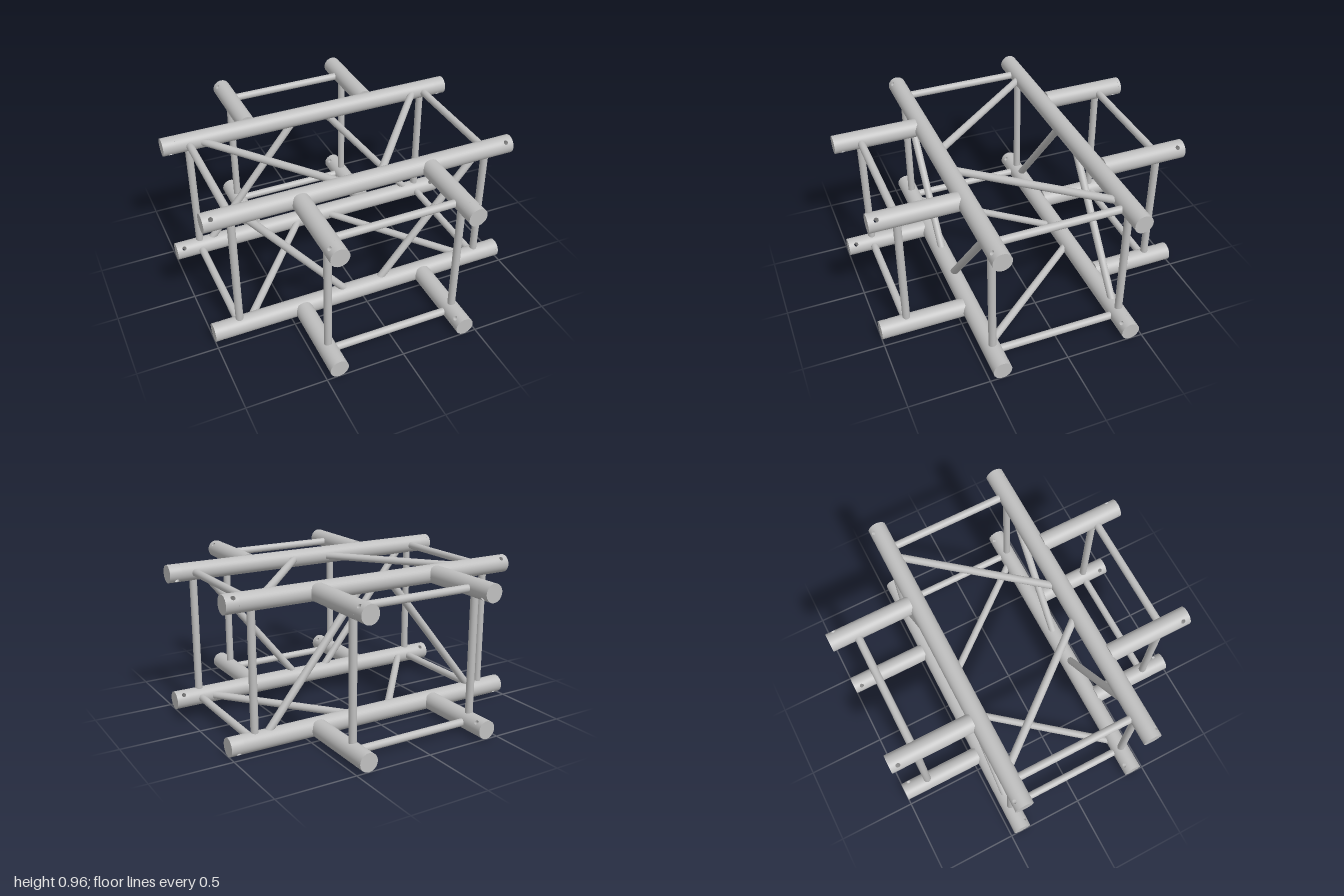
import * as THREE from 'three';
import { ParametricGeometry } from 'three/addons/geometries/ParametricGeometry.js';

const R = 0.058;      // chord tube radius
const BRACE = 0.024;  // brace rod radius
const HOLE = 0.014;   // pin hole radius
const HALF = 0.03;    // half length of the drilled section
const LOW = R, HIGH = 0.9, OUT = 0.42;

const steel = new THREE.MeshStandardMaterial({ color: 0xbfbfbf, side: THREE.DoubleSide });
steel.name = 'brushed steel';

const V = (x, y, z) => new THREE.Vector3(x, y, z);

// Half of a tube wall wrapped around a round hole that faces +z
function drilledWall(u, v, target) {
  const t = -2 * Math.PI * u, c = Math.cos(t), s = Math.sin(t);
  const k = 1 / Math.max(Math.abs(c), Math.abs(s));
  const angle = THREE.MathUtils.lerp(c * HOLE / R, c * k * Math.PI / 2, v);
  const along = THREE.MathUtils.lerp(s * HOLE, s * k * HALF, v);
  target.set(R * Math.sin(angle), along, R * Math.cos(angle));
}
const wallGeometry = new ParametricGeometry(drilledWall, 64, 12);
const boreGeometry = new THREE.CylinderGeometry(HOLE, HOLE, 0.113, 20, 1, true).rotateX(Math.PI / 2);

// Chord tube along a line, with pin holes drilled at given distances from its start
function chord(name, a, b, holeDir, holes) {
  const group = new THREE.Group();
  group.name = name;
  const length = a.distanceTo(b);
  const add = (part, geometry, y, turn = 0) => {
    const mesh = new THREE.Mesh(geometry, steel);
    mesh.name = part;
    mesh.position.y = y;
    mesh.rotation.y = turn;
    group.add(mesh);
  };
  let from = 0;
  for (const stop of [...holes, length + HALF]) {
    const to = stop - HALF;
    add('tubeBody', new THREE.CylinderGeometry(R, R, to - from, 40), (from + to) / 2);
    from = stop + HALF;
  }
  for (const y of holes) {
    add('drilledWall', wallGeometry, y);
    add('drilledWall', wallGeometry, y, Math.PI);
    add('pinHoleBore', boreGeometry, y);
  }
  const dir = b.clone().sub(a).normalize();
  const z = holeDir.clone().normalize();
  group.quaternion.setFromRotationMatrix(
    new THREE.Matrix4().makeBasis(dir.clone().cross(z), dir, z));
  group.position.copy(a);
  return group;
}

// Thin round rod between two points
function rod(name, a, b) {
  const mesh = new THREE.Mesh(
    new THREE.CylinderGeometry(BRACE, BRACE, a.distanceTo(b), 24), steel);
  mesh.name = name;
  mesh.position.copy(a).add(b).multiplyScalar(0.5);
  mesh.quaternion.setFromUnitVectors(V(0, 1, 0), b.clone().sub(a).normalize());
  return mesh;
}

export function createModel() {
  const model = new THREE.Group();
  model.name = 'trussCross';
  const signs = [-1, 1];
  const END = 0.83;                  // position of the end braces
  const OUTER = 0.775, INNER = 0.095; // ends of the diagonals

  for (const [y, sy] of [[LOW, -1], [HIGH, 1]]) {
    for (const s of signs) {
      // Long chords running left to right
      model.add(chord('longChord', V(-1, y, s * OUT), V(1, y, s * OUT), V(0, sy, s), [0.05, 1.95]));
      // Short arms to the front and back
      for (const sx of signs) {
        model.add(chord('armChord', V(sx * OUT, y, s * 0.458), V(sx * OUT, y, s), V(sx, sy, 0), [0.492]));
      }
      // Horizontal end braces
      model.add(rod('sideEndBrace', V(s * END, y, -OUT), V(s * END, y, OUT)));
      model.add(rod('armEndBrace', V(-OUT, y, s * END), V(OUT, y, s * END)));
      // Diagonals of the top and bottom faces
      model.add(rod('flatDiagonal', V(s * OUTER, y, -sy * OUT), V(s * INNER, y, sy * OUT)));
    }
  }

  for (const sx of signs) {
    for (const sz of signs) {
      // Upright end braces
      model.add(rod('sideUpright', V(sx * END, LOW, sz * OUT), V(sx * END, HIGH, sz * OUT)));
      model.add(rod('armUpright', V(sx * OUT, LOW, sz * END), V(sx * OUT, HIGH, sz * END)));
      // Diagonals of the front and back faces, leaning opposite ways
      const [outerY, innerY] = sz > 0 ? [HIGH, LOW] : [LOW, HIGH];
      model.add(rod('uprightDiagonal', V(sx * OUTER, outerY, sz * OUT), V(sx * INNER, innerY, sz * OUT)));
    }
  }
  return model;
}
